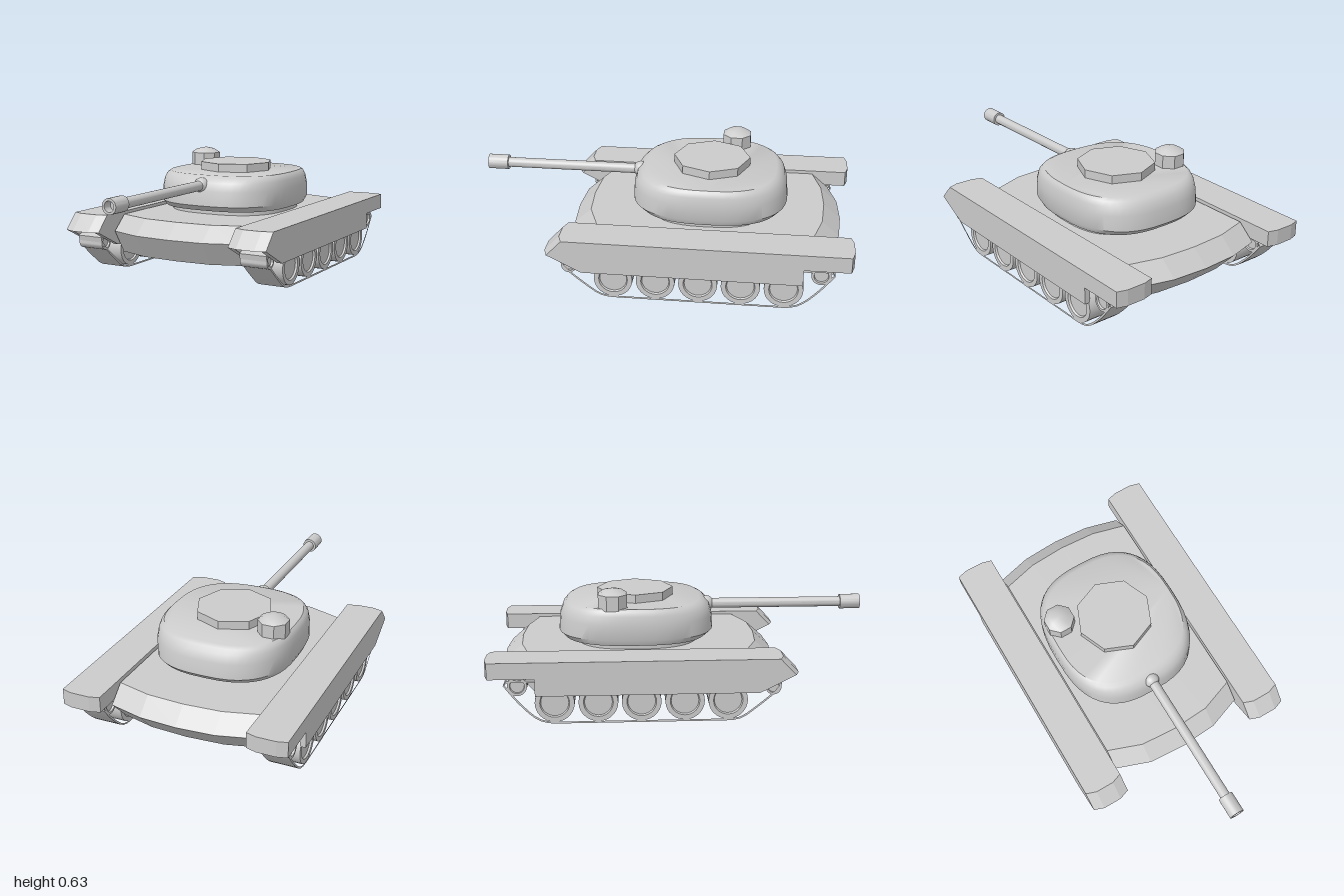
import * as THREE from 'three';
import { toCreasedNormals } from 'three/addons/utils/BufferGeometryUtils.js';

const material = new THREE.MeshStandardMaterial({ color: 0xcccccc });

function add(parent, name, geometry, x = 0, y = 0, z = 0) {
  const mesh = new THREE.Mesh(geometry, material);
  mesh.name = name;
  mesh.position.set(x, y, z);
  parent.add(mesh);
  return mesh;
}

// Skin between equal-length rings, closed with fans at both ends.
function loft(rings, crease) {
  const n = rings[0].length, last = (rings.length - 1) * n, index = [];
  for (let i = 0; i < rings.length - 1; i++) {
    for (let j = 0; j < n; j++) {
      const a = i * n + j, b = i * n + (j + 1) % n;
      index.push(a, b, b + n, a, b + n, a + n);
    }
  }
  for (let j = 1; j < n - 1; j++) {
    index.push(0, j + 1, j, last, last + j, last + j + 1);
  }
  const geometry = new THREE.BufferGeometry();
  geometry.setAttribute('position', new THREE.Float32BufferAttribute(rings.flat(2), 3));
  geometry.setIndex(index);
  return toCreasedNormals(geometry, crease);
}

// Side profile of [z, y] points swept across x; each station pulls the ends in.
function bowedSolid(profile, stations) {
  return loft(stations.map(([x, front, rear]) =>
    profile.map(([z, y]) => [x, y, z > 0 ? z - front : z + rear])), 0.02);
}

// Side profile of [z, y] points, extruded evenly about x = 0.
function sidePlate(points, width, hole) {
  const shape = new THREE.Shape(points.map(p => new THREE.Vector2(...p)));
  if (hole) shape.holes.push(new THREE.Path(hole.map(p => new THREE.Vector2(...p))));
  const geometry = new THREE.ExtrudeGeometry(shape, { depth: width, bevelEnabled: false });
  return geometry.rotateY(-Math.PI / 2).translate(width / 2, 0, 0);
}

// Wheel about the x axis with a raised rim and recessed face on both sides.
function wheel(radius, width) {
  const h = width / 2, r = radius;
  const points = [[0, -h + 0.01], [r * 0.7, -h + 0.01], [r * 0.75, -h], [r, -h],
    [r, h], [r * 0.75, h], [r * 0.7, h - 0.01], [0, h - 0.01]];
  const geometry = new THREE.LatheGeometry(points.map(p => new THREE.Vector2(...p)), 28);
  return toCreasedNormals(geometry.rotateZ(Math.PI / 2), 0.5);
}

// Endless belt: a smooth closed path given a thickness towards the inside.
function belt(path, width, thickness) {
  const curve = new THREE.CatmullRomCurve3(
    path.map(([z, y]) => new THREE.Vector3(z, y, 0)), true, 'centripetal');
  const outer = [], inner = [];
  for (let i = 0; i < 80; i++) {
    const p = curve.getPointAt(i / 80), t = curve.getTangentAt(i / 80);
    const y = Math.max(p.y, 0);
    outer.push([p.x, y]);
    inner.push([p.x + t.y * thickness, y - t.x * thickness]);
  }
  return toCreasedNormals(sidePlate(outer, width, inner), 0.5);
}

function addRunningGear(model, side) {
  const gear = new THREE.Group();
  gear.name = side > 0 ? 'leftRunningGear' : 'rightRunningGear';
  gear.position.x = side * 0.495;
  model.add(gear);

  // Fender with pointed ends and a sloped nose
  add(gear, 'fender', bowedSolid(
    [[0.505, 0.33], [0.585, 0.245], [-1, 0.245], [-1, 0.33]],
    [[-0.105, 0.025, 0.015], [-0.05, 0.005, 0], [0.05, 0.005, 0], [0.105, 0.025, 0.015]]));

  // Inner and outer skirts
  for (const x of [-0.09, 0.09]) {
    add(gear, 'skirt', sidePlate(
      [[0.56, 0.246], [-0.75, 0.246], [-0.75, 0.155], [0.38, 0.155]], 0.03), x);
  }

  // Track, in clockwise order of [z, y]
  add(gear, 'track', belt([[0.46, 0.222], [0.5, 0.2], [0.48, 0.165], [0.36, 0.06],
    [0.29, 0.012], [0.23, 0], [0, 0], [-0.4, 0], [-0.67, 0], [-0.74, 0.02],
    [-0.82, 0.09], [-0.9, 0.19], [-0.915, 0.215], [-0.88, 0.23], [-0.8, 0.228],
    [-0.4, 0.222], [0, 0.222]], 0.15, 0.01));

  // Road wheels, front idler and rear sprocket
  for (const z of [0.22, 0.001, -0.218, -0.436, -0.655]) {
    add(gear, 'roadWheel', wheel(0.1, 0.156), 0, 0.11, z);
  }
  add(gear, 'idlerWheel', wheel(0.04, 0.15), 0, 0.175, 0.45);
  add(gear, 'sprocketWheel', wheel(0.05, 0.15), 0, 0.2, -0.84);
}

// One horizontal rounded-box outline of the turret
function turretRing([y, halfWidth, front, rear]) {
  const ring = [], middle = -0.24, power = 2 / 2.7;
  for (let i = 0; i < 48; i++) {
    const a = i / 48 * Math.PI * 2, c = Math.cos(a), s = -Math.sin(a);
    const reach = s > 0 ? front - middle : middle - rear;
    ring.push([Math.sign(c) * Math.abs(c) ** power * halfWidth, y,
      middle + Math.sign(s) * Math.abs(s) ** power * reach]);
  }
  return ring;
}

function addTurret(model) {
  const turret = new THREE.Group();
  turret.name = 'turret';
  model.add(turret);

  add(turret, 'turretRing', loft(
    [[0.3, 0.33, 0.1, -0.56], [0.345, 0.33, 0.1, -0.56]].map(turretRing), 0.5));
  add(turret, 'turretBody', loft([[0.34, 0.355, 0.145, -0.625], [0.37, 0.368, 0.18, -0.655],
    [0.45, 0.368, 0.175, -0.648], [0.495, 0.362, 0.16, -0.632], [0.518, 0.354, 0.135, -0.612],
    [0.53, 0.342, 0.11, -0.59]].map(turretRing), 0.6));

  // Octagonal roof plate
  const roof = new THREE.CylinderGeometry(0.206, 0.206, 0.05, 8);
  add(turret, 'roofPlate', toCreasedNormals(roof, 0.02), 0, 0.55, -0.24);

  // Faceted hatch with a domed lid
  const hatch = new THREE.CylinderGeometry(0.082, 0.082, 0.08, 8).rotateY(Math.PI / 8);
  add(turret, 'hatchBase', toCreasedNormals(hatch, 0.02), -0.27, 0.56, -0.36);
  const lid = new THREE.LatheGeometry([[0.082, 0], [0.052, 0.02], [0, 0.031]]
    .map(p => new THREE.Vector2(...p)), 8).rotateY(Math.PI / 8);
  add(turret, 'hatchLid', toCreasedNormals(lid, 0.8), -0.27, 0.6, -0.36);

  // Gun with a ball mount and a hollow muzzle
  add(turret, 'gunMount', new THREE.SphereGeometry(0.042, 24, 16), 0, 0.478, 0.15);
  const gun = new THREE.LatheGeometry([[0.027, 0.1], [0.027, 0.89], [0.04, 0.89],
    [0.04, 1], [0.027, 1], [0.027, 0.95], [0, 0.95]].map(p => new THREE.Vector2(...p)), 24);
  add(turret, 'gunBarrel', toCreasedNormals(gun.rotateX(Math.PI / 2), 0.5), 0, 0.478, 0);
}

export function createModel() {
  const model = new THREE.Group();
  model.name = 'tank';

  // Hull with bowed nose and tail
  add(model, 'hull', bowedSolid(
    [[0.41, 0.315], [0.5, 0.235], [0.42, 0.11], [-0.83, 0.11], [-0.948, 0.235], [-0.855, 0.315]],
    [[-0.383, 0.08, 0.06], [-0.2, 0.013, 0.012], [0, 0, 0], [0.2, 0.013, 0.012], [0.383, 0.08, 0.06]]));

  addTurret(model);
  for (const side of [1, -1]) addRunningGear(model, side);
  return model;
}
